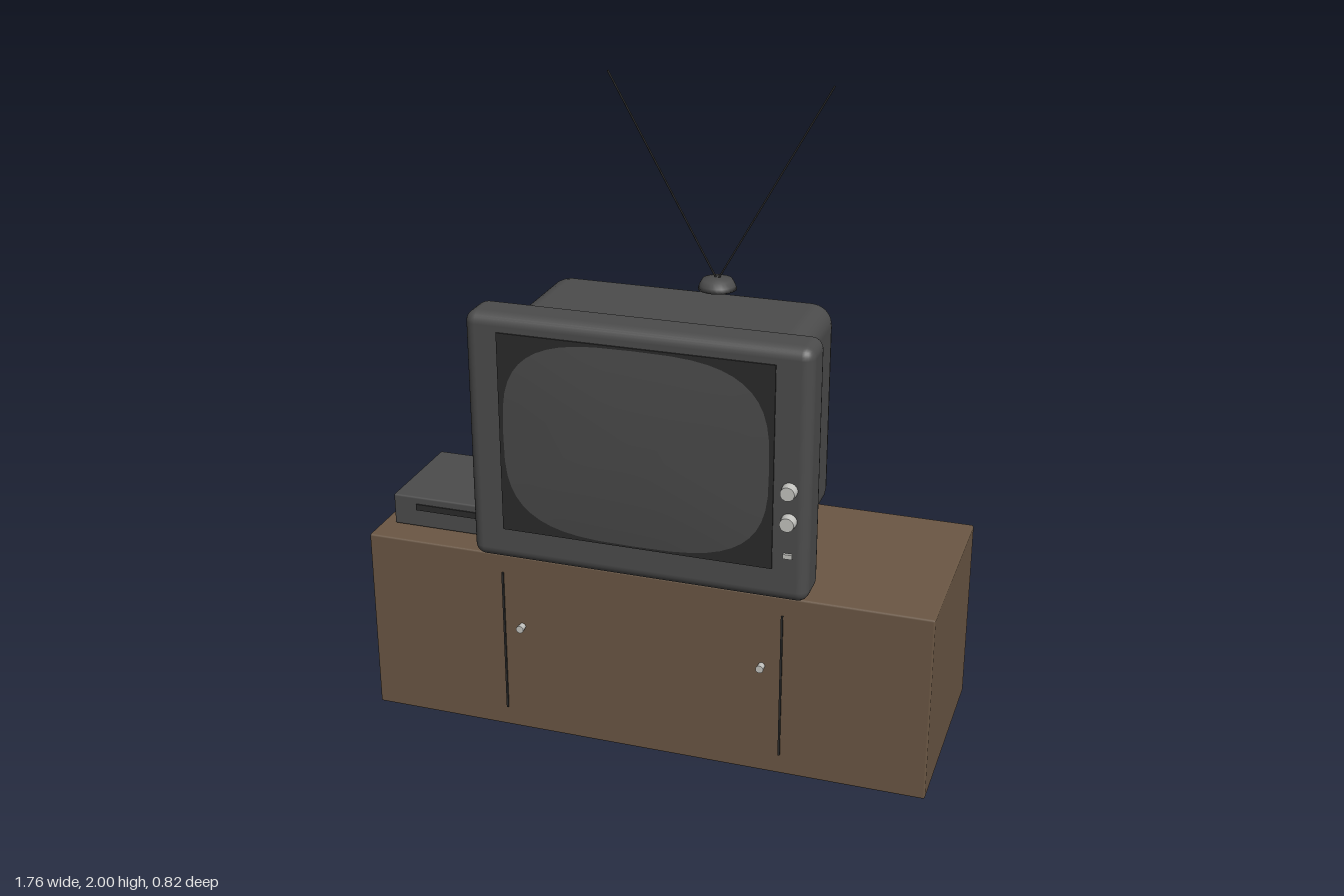
import * as THREE from 'three';
import { RoundedBoxGeometry } from 'three/addons/geometries/RoundedBoxGeometry.js';

const mat = (name, color, side = THREE.FrontSide) => {
  const m = new THREE.MeshStandardMaterial({ color, side });
  m.name = name;
  return m;
};

// Bulged glass: rings of a superellipse, pushed forward toward the middle
function glassGeometry(rx, ry, bulge, rings = 8, segs = 48) {
  const pos = [0, 0, bulge], idx = [];
  const e = 2 / 3.2;
  for (let r = 1; r <= rings; r++) {
    const t = r / rings;
    for (let s = 0; s < segs; s++) {
      const a = (s / segs) * Math.PI * 2, c = Math.cos(a), d = Math.sin(a);
      pos.push(Math.sign(c) * Math.abs(c) ** e * rx * t, Math.sign(d) * Math.abs(d) ** e * ry * t, bulge * (1 - t * t));
      const n = (s + 1) % segs, o = 1 + (r - 1) * segs, p = o - segs;
      if (r === 1) idx.push(0, o + s, o + n);
      else idx.push(p + s, o + s, o + n, p + s, o + n, p + n);
    }
  }
  const g = new THREE.BufferGeometry();
  g.setAttribute('position', new THREE.Float32BufferAttribute(pos, 3));
  g.setIndex(idx);
  g.computeVertexNormals();
  return g;
}

export function createModel() {
  const model = new THREE.Group();
  model.name = 'televisionOnCabinet';
  const wood = mat('brown wood', 0x6b5744);
  const plastic = mat('grey plastic', 0x4c4c4c);
  const dark = mat('dark trim', 0x2b2b2b);
  const glass = mat('screen glass', 0x4a4a4a, THREE.DoubleSide);
  const metal = mat('pale metal', 0xc4c4c0);

  const add = (name, geo, material, x = 0, y = 0, z = 0) => {
    const m = new THREE.Mesh(geo, material);
    m.name = name;
    m.position.set(x, y, z);
    model.add(m);
    return m;
  };
  // Rounded box given by its limits on each axis
  const block = (name, material, [x0, x1], [y0, y1], [z0, z1], radius, segs = 3) =>
    add(name, new RoundedBoxGeometry(x1 - x0, y1 - y0, z1 - z0, segs, radius), material,
      (x0 + x1) / 2, (y0 + y1) / 2, (z0 + z1) / 2);
  const plate = (name, material, w, h, d, x, y, z) =>
    add(name, new THREE.BoxGeometry(w, h, d), material, x, y, z);

  // Cabinet with door seams and handles
  block('cabinet', wood, [-0.88, 0.88], [0, 0.595], [-0.295, 0.35], 0.006, 1);
  for (const s of [-1, 1]) {
    plate('doorSeam', dark, 0.006, 0.47, 0.008, s * 0.437, 0.3, 0.351);
    const handle = add('doorHandle', new THREE.CylinderGeometry(0.012, 0.01, 0.026, 16), metal, s * 0.378, 0.36, 0.362);
    handle.rotation.x = Math.PI / 2;
  }

  // Television housing
  block('frontFrame', plastic, [-0.518, 0.515], [0.595, 1.372], [0.242, 0.38], 0.035);
  block('housing', plastic, [-0.448, 0.445], [0.67, 1.325], [-0.182, 0.241], 0.065);
  block('rearHousing', plastic, [-0.295, 0.292], [0.775, 1.243], [-0.408, -0.12], 0.06);

  // Screen
  plate('screenSurround', dark, 0.825, 0.62, 0.009, -0.002, 1.01, 0.38);
  add('screen', glassGeometry(0.4, 0.303, 0.014), glass, -0.002, 1.01, 0.386);

  // Controls
  for (const y of [0.95, 0.855]) {
    const knob = add('knob', new THREE.CylinderGeometry(0.021, 0.024, 0.03, 20), metal, 0.457, y, 0.393);
    knob.rotation.x = Math.PI / 2;
  }
  plate('powerButton', metal, 0.027, 0.014, 0.012, 0.457, 0.747, 0.383);

  // Video player beside the television
  block('player', plastic, [-0.837, -0.34], [0.597, 0.697], [-0.09, 0.258], 0.006, 1);
  plate('tapeSlot', dark, 0.345, 0.02, 0.008, -0.588, 0.664, 0.258);

  // Antenna: base and two rods
  const ax = 0.117, az = -0.033;
  const profile = [[0, 1.375], [0.058, 1.375], [0.054, 1.388], [0.045, 1.404], [0.02, 1.409], [0, 1.41]];
  add('antennaBase', new THREE.LatheGeometry(profile.map(p => new THREE.Vector2(...p)), 24), plastic, ax, 0, az);
  for (const s of [-1, 1]) {
    const path = new THREE.LineCurve3(new THREE.Vector3(ax, 1.4, az), new THREE.Vector3(ax + s * 0.335, 2, az));
    add('antennaRod', new THREE.TubeGeometry(path, 1, 0.0028, 6), dark);
  }
  return model;
}
